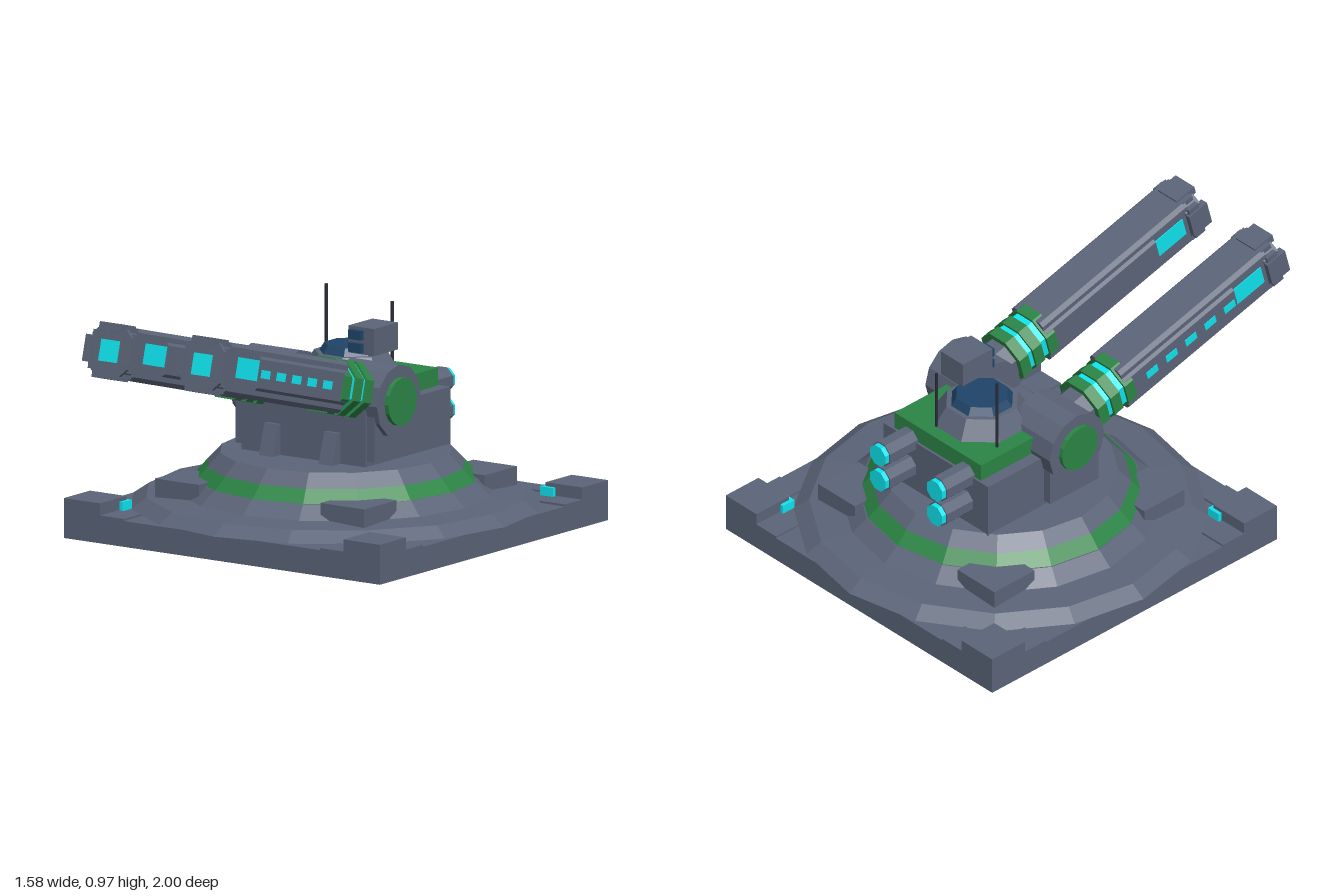
import * as THREE from 'three';

const paint = (color) => new THREE.MeshStandardMaterial({ color, flatShading: true });
const GREY = paint(0x5b6478), GREEN = paint(0x2c8546), CYAN = paint(0x10e4ee);
const BLUE = paint(0x1f4468), DARK = paint(0x2a2d38);
const CZ = -0.21; // centre of the base in z

function add(parent, name, geometry, material, x = 0, y = 0, z = 0) {
  const mesh = new THREE.Mesh(geometry, material);
  mesh.name = name;
  mesh.position.set(x, y, z);
  parent.add(mesh);
  return mesh;
}

// Box given by its limits on each axis
function block(parent, name, material, [x0, x1], [y0, y1], [z0, z1]) {
  const g = new THREE.BoxGeometry(Math.abs(x1 - x0), y1 - y0, Math.abs(z1 - z0));
  return add(parent, name, g, material, (x0 + x1) / 2, (y0 + y1) / 2, (z0 + z1) / 2);
}

// Upright frustum between two heights
function frustum(parent, name, material, r0, y0, r1, y1, sides, z, turn = 0) {
  const g = new THREE.CylinderGeometry(r1, r0, y1 - y0, sides).rotateY(turn);
  return add(parent, name, g, material, 0, (y0 + y1) / 2, z);
}

// Drum lying along z, with flats at top, bottom and sides
function drum(parent, name, material, r, z0, z1, sides, x = 0, y = 0) {
  const g = new THREE.CylinderGeometry(r, r, z1 - z0, sides).rotateY(Math.PI / sides).rotateX(Math.PI / 2);
  return add(parent, name, g, material, x, y, (z0 + z1) / 2);
}

// Bar along z with chamfered corners
function bar(parent, name, material, w, h, c, z0, z1) {
  const a = w / 2, b = h / 2;
  const corners = [[a, c - b], [a, b - c], [a - c, b], [c - a, b], [-a, b - c], [-a, c - b], [c - a, -b], [a - c, -b]];
  const shape = new THREE.Shape(corners.map(([x, y]) => new THREE.Vector2(x, y)));
  const g = new THREE.ExtrudeGeometry(shape, { depth: z1 - z0, bevelEnabled: false });
  return add(parent, name, g, material, 0, 0, z0);
}

function createBase() {
  const base = new THREE.Group();
  base.name = 'base';
  block(base, 'slab', GREY, [-0.74, 0.74], [0, 0.1], [CZ - 0.74, CZ + 0.74]);
  // Stepped round platform
  frustum(base, 'platformRim', GREY, 0.79, 0.104, 0.73, 0.145, 16, CZ);
  frustum(base, 'platformTop', GREY, 0.73, 0.145, 0.605, 0.155, 16, CZ);
  frustum(base, 'lowerCollar', GREY, 0.605, 0.155, 0.545, 0.207, 16, CZ);
  frustum(base, 'greenRing', GREEN, 0.54, 0.207, 0.495, 0.257, 16, CZ);
  frustum(base, 'upperCollar', GREY, 0.495, 0.257, 0.445, 0.31, 16, CZ);
  // Corner blocks, light strips and platform pads
  for (const sx of [-1, 1]) for (const sz of [-1, 1]) {
    const X = (a, b) => [sx * a, sx * b], Z = (a, b) => [CZ + sz * a, CZ + sz * b];
    block(base, 'cornerBlock', GREY, X(0.57, 0.74), [0.1, 0.155], Z(0.57, 0.74));
    block(base, 'cornerArm', GREY, X(0.46, 0.57), [0.09, 0.108], Z(0.62, 0.74));
    block(base, 'cornerArm', GREY, X(0.62, 0.74), [0.09, 0.108], Z(0.46, 0.57));
    block(base, 'cornerLight', CYAN, X(0.555, 0.57), [0.105, 0.14], Z(0.555, 0.615));
    block(base, 'cornerLight', CYAN, X(0.57, 0.615), [0.105, 0.14], Z(0.555, 0.57));
    block(base, 'platformPad', GREY, X(0.285, 0.49), [0.14, 0.22], Z(0.285, 0.495));
  }
  return base;
}

function createTurret() {
  const turret = new THREE.Group();
  turret.name = 'turret';
  block(turret, 'body', GREY, [-0.29, 0.29], [0.3, 0.53], [-0.55, 0]);
  block(turret, 'greenRoof', GREEN, [-0.24, 0.24], [0.53, 0.6], [-0.54, -0.14]);
  // Cupola
  const turn = Math.PI / 8;
  frustum(turret, 'cupola', GREY, 0.192, 0.6, 0.145, 0.675, 8, -0.31, turn);
  frustum(turret, 'cupolaGlass', BLUE, 0.125, 0.675, 0.105, 0.705, 8, -0.31, turn);
  // Sensor and antennas
  block(turret, 'sensorBox', GREY, [0.08, 0.2], [0.7, 0.805], [-0.335, -0.18]);
  for (const y of [0.725, 0.775]) block(turret, 'sensorLens', BLUE, [0.09, 0.15], [y - 0.018, y + 0.018], [-0.18, -0.162]);
  for (const [x, z, top] of [[-0.19, -0.41, 0.895], [0.065, -0.485, 0.845]]) {
    add(turret, 'antenna', new THREE.CylinderGeometry(0.006, 0.006, top - 0.59, 6), DARK, x, (top + 0.59) / 2, z);
  }

  for (const s of [-1, 1]) {
    // Sloped front rib
    const rib = new THREE.Shape([[0, 0.3], [0.055, 0.3], [0.015, 0.43], [0, 0.43]].map(([z, y]) => new THREE.Vector2(z, y)));
    const ribGeo = new THREE.ExtrudeGeometry(rib, { depth: 0.065, bevelEnabled: false }).translate(0, 0, -0.0325).rotateY(-Math.PI / 2);
    add(turret, 'frontRib', ribGeo, GREY, s * 0.14);
    // Gun mount
    block(turret, 'mountBracket', GREY, [s * 0.24, s * 0.325], [0.33, 0.55], [-0.26, -0.01]);
    const hub = (name, mat, r, x0, x1, sides) => add(turret, name,
      new THREE.CylinderGeometry(r, r, x1 - x0, sides).rotateZ(Math.PI / 2), mat, s * (x0 + x1) / 2, 0.55, -0.14);
    hub('mountDrum', GREY, 0.142, 0.12, 0.345, 12);
    hub('mountCap', GREEN, 0.093, 0.345, 0.363, 16);
    // Rear exhaust tubes
    for (const y of [0.52, 0.405]) {
      drum(turret, 'exhaustTube', GREY, 0.052, -0.685, -0.53, 8, s * 0.158, y);
      drum(turret, 'exhaustLight', CYAN, 0.046, -0.705, -0.685, 8, s * 0.158, y);
    }
  }
  return turret;
}

// One gun, pointing along +z from its pivot
function createGun(side) {
  const gun = new THREE.Group();
  gun.name = side > 0 ? 'leftGun' : 'rightGun';
  drum(gun, 'gunRoot', GREY, 0.09, 0.02, 0.16, 8);
  // Banded collar
  drum(gun, 'collarLight', CYAN, 0.104, 0.15, 0.33, 8);
  for (const z of [0.145, 0.215, 0.29]) drum(gun, 'collarRing', GREEN, 0.115, z, z + 0.046, 8);
  // Barrel and side sleeve
  bar(gun, 'barrel', GREY, 0.172, 0.2, 0.015, 0.3, 1.08);
  bar(gun, 'barrelSleeve', GREY, 0.194, 0.14, 0.015, 0.3, 0.89);
  for (const s of [-1, 1]) block(gun, 'barrelWindow', CYAN, [s * 0.08, s * 0.09], [-0.03, 0.05], [0.89, 1.04]);
  for (let i = 0; i < 5; i++) {
    const z = 0.435 + i * 0.104;
    block(gun, 'barrelDash', CYAN, [side * 0.09, side * 0.1], [-0.016, 0.016], [z - 0.029, z + 0.029]);
  }
  // Muzzle with four clamp plates
  bar(gun, 'muzzle', GREY, 0.182, 0.182, 0.03, 1.06, 1.135);
  for (let i = 0; i < 4; i++) {
    const clamp = new THREE.Group();
    clamp.name = 'muzzleClamp';
    clamp.rotation.z = i * Math.PI / 2;
    block(clamp, 'clampPlate', GREY, [-0.052, 0.052], [0.075, 0.107], [1.06, 1.155]);
    block(clamp, 'clampBand', GREY, [-0.075, 0.075], [0.08, 0.1], [1.07, 1.12]);
    gun.add(clamp);
  }
  block(gun, 'muzzleLight', CYAN, [-0.042, 0.042], [-0.042, 0.042], [1.12, 1.142]);
  gun.position.set(side * 0.217, 0.568, -0.14);
  gun.rotation.x = -Math.PI / 12;
  return gun;
}

export function createModel() {
  const model = new THREE.Group();
  model.name = 'gunTurret';
  model.add(createBase(), createTurret(), createGun(-1), createGun(1));
  return model;
}
